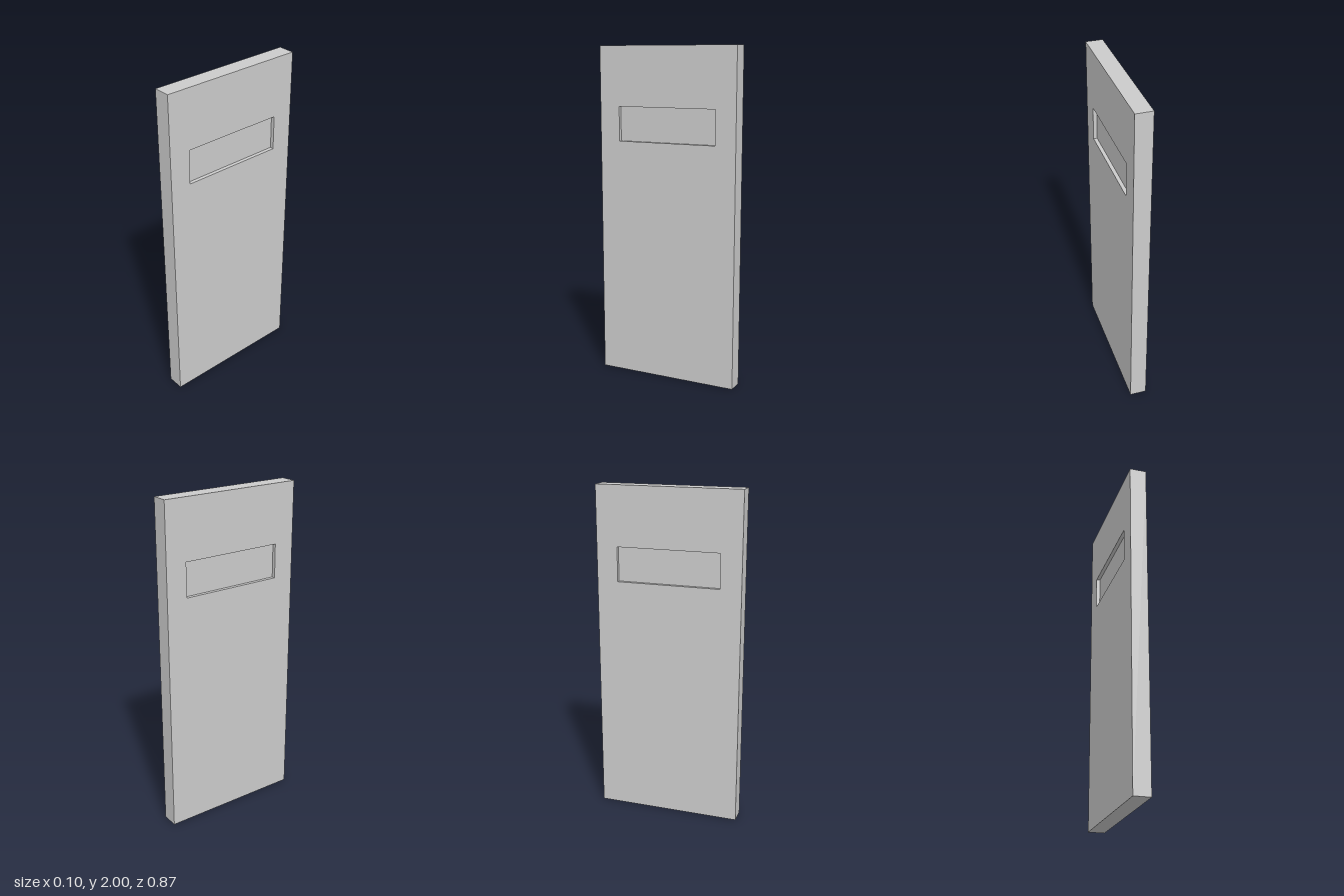
import * as THREE from 'three';

const WIDTH = 0.873, HEIGHT = 2, THICKNESS = 0.1;
const WINDOW = { width: 0.62, bottom: 1.44, top: 1.645, recess: 0.022 };

// Rectangle centred on x = 0, between two heights
function rectangle(PathType, width, bottom, top) {
  const h = width / 2;
  return new PathType([
    new THREE.Vector2(-h, bottom),
    new THREE.Vector2(h, bottom),
    new THREE.Vector2(h, top),
    new THREE.Vector2(-h, top),
  ]);
}

export function createModel() {
  const group = new THREE.Group();
  group.name = 'door';
  const material = new THREE.MeshStandardMaterial({ color: 0xcccccc });

  // Door slab with a window opening, turned so its broad faces point along x
  const outline = rectangle(THREE.Shape, WIDTH, 0, HEIGHT);
  outline.holes.push(rectangle(THREE.Path, WINDOW.width, WINDOW.bottom, WINDOW.top));
  const slabGeometry = new THREE.ExtrudeGeometry(outline, { depth: THICKNESS, bevelEnabled: false });
  slabGeometry.translate(0, 0, -THICKNESS / 2).rotateY(Math.PI / 2);
  const slab = new THREE.Mesh(slabGeometry, material);
  slab.name = 'doorSlab';
  group.add(slab);

  // Window pane, recessed equally on both sides
  const pane = new THREE.Mesh(
    new THREE.BoxGeometry(THICKNESS - 2 * WINDOW.recess, WINDOW.top - WINDOW.bottom, WINDOW.width),
    material
  );
  pane.position.y = (WINDOW.top + WINDOW.bottom) / 2;
  pane.name = 'windowPane';
  group.add(pane);

  return group;
}
